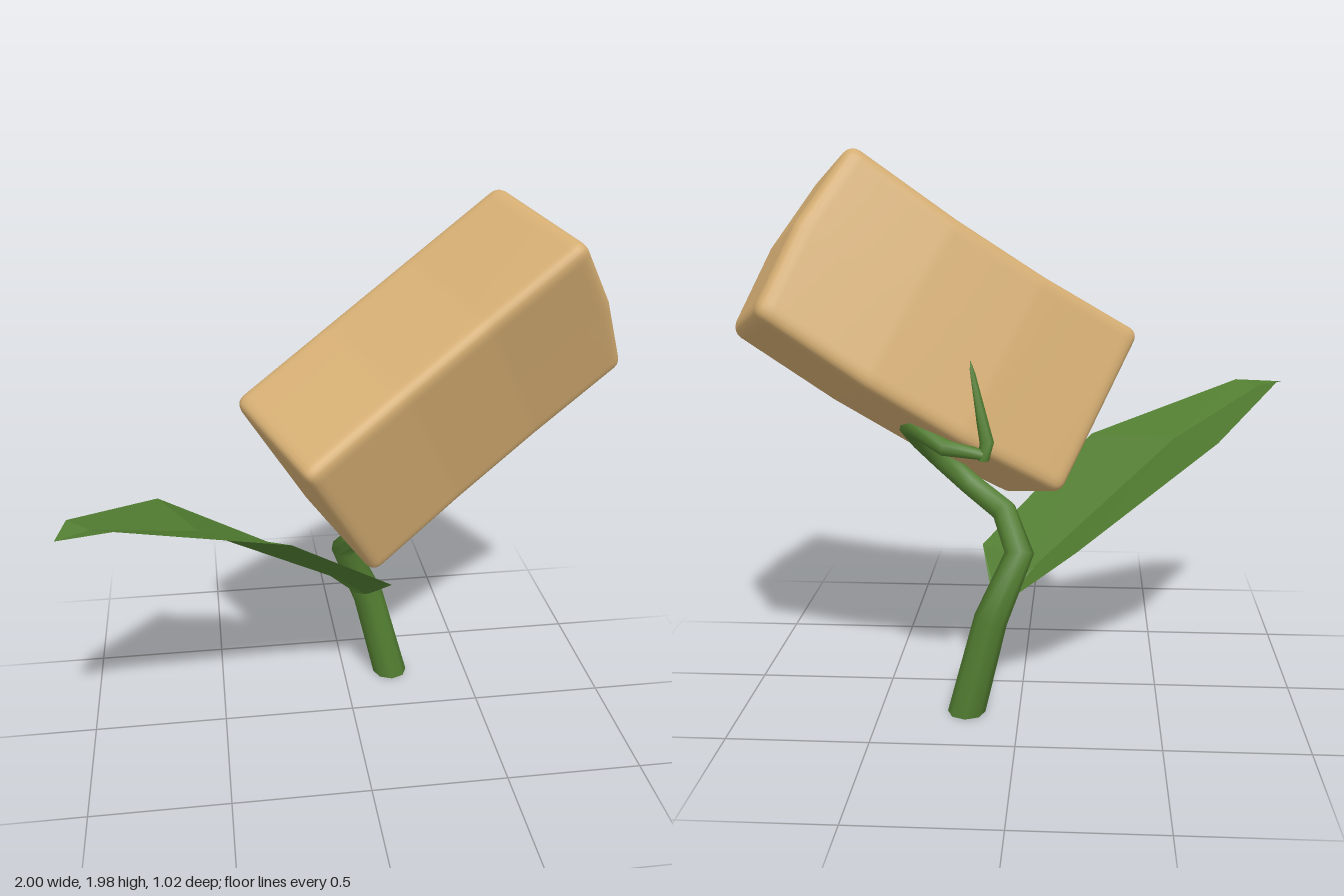
import * as THREE from 'three';
import { mergeVertices } from 'three/addons/utils/BufferGeometryUtils.js';

const V = (x, y, z) => new THREE.Vector3(x, y, z);
const tan = new THREE.MeshStandardMaterial({ color: 0xd4ad72 });
const green = new THREE.MeshStandardMaterial({ color: 0x527d31 });
const leafGreen = new THREE.MeshStandardMaterial({ color: 0x527d31, side: THREE.DoubleSide, flatShading: true });

function named(name, geometry, material) {
  const mesh = new THREE.Mesh(geometry, material);
  mesh.name = name;
  return mesh;
}

// Smooth mesh through rows of points; closed rows wrap around
function loft(rows, closed) {
  const n = rows[0].length, pos = [], index = [];
  rows.forEach(r => r.forEach(p => pos.push(p.x, p.y, p.z)));
  for (let i = 0; i < rows.length - 1; i++) {
    for (let j = 0; j < (closed ? n : n - 1); j++) {
      const k = (j + 1) % n;
      const a = i * n + j, b = i * n + k, c = a + n, d = b + n;
      index.push(a, b, d, a, d, c);
    }
  }
  const g = new THREE.BufferGeometry();
  g.setAttribute('position', new THREE.Float32BufferAttribute(pos, 3));
  g.setIndex(index);
  g.computeVertexNormals();
  return g;
}

// Soft-edged block, bowed along its length and swollen at one end
function blockGeometry() {
  const half = V(0.6, 0.33, 0.245), r = 0.04;
  let g = new THREE.BoxGeometry(half.x * 2, half.y * 2, half.z * 2, 60, 34, 25);
  g.deleteAttribute('uv');
  g.deleteAttribute('normal');
  g = mergeVertices(g);
  const p = g.attributes.position, v = V(0, 0, 0);
  const inner = half.clone().subScalar(r);
  for (let i = 0; i < p.count; i++) {
    v.fromBufferAttribute(p, i);
    const core = v.clone().clamp(inner.clone().negate(), inner);
    v.sub(core).normalize().multiplyScalar(r).add(core);
    const bow = 0.032 * Math.max(0, Math.min(1, (half.x - Math.abs(v.x)) / 0.42));
    v.x += 0.025 * (1 - Math.abs(v.y) / half.y) * Math.max(v.x, 0) / half.x;
    v.y -= bow;
    v.z -= bow;
    p.setXYZ(i, v.x, v.y, v.z);
  }
  g.computeVertexNormals();
  return g;
}

// Tapering stem: rings carried along the path without twist
function stemGeometry(path, radii, sides) {
  const last = path.length - 1;
  const side = V(1, 0, 0), rows = [];
  path.forEach((p, i) => {
    const a = path[Math.max(i - 1, 0)], b = path[Math.min(i + 1, last)];
    const inDir = p.clone().sub(a).normalize(), outDir = b.clone().sub(p).normalize();
    const t = inDir.add(outDir).normalize();
    if (i === 0) t.set(0, 1, 0);
    side.addScaledVector(t, -side.dot(t)).normalize();
    const up = t.clone().cross(side);
    const ring = [];
    for (let j = 0; j < sides; j++) {
      const ang = (j / sides) * Math.PI * 2;
      ring.push(p.clone()
        .addScaledVector(side, Math.cos(ang) * radii[i])
        .addScaledVector(up, Math.sin(ang) * radii[i]));
    }
    rows.push(ring);
  });
  return loft(rows, true);
}

export function createModel() {
  const model = new THREE.Group();

  // Tilted block resting in the curl of the stem
  const block = named('block', blockGeometry(), tan);
  const ex = V(0.94, 0.64, -0.27).normalize();
  const ez = V(0.2, -0.12, 0.4);
  ez.addScaledVector(ex, -ez.dot(ex)).normalize();
  const ey = ez.clone().cross(ex);
  block.quaternion.setFromRotationMatrix(new THREE.Matrix4().makeBasis(ex, ey, ez));
  block.position.set(0.3, 1.347, -0.033);
  model.add(block);

  // Stem bending round under the block
  const stemPath = [
    V(0.19, 0, -0.25), V(0.1, 0.36, -0.26), V(0, 0.6, -0.235), V(0.06, 0.72, -0.13),
    V(0.19, 0.8, -0.055), V(0.29, 0.89, -0.05), V(0.36, 0.98, -0.11), V(0.38, 1.04, -0.2),
    V(0.345, 1.06, -0.29), V(0.24, 1.01, -0.36), V(0.11, 0.99, -0.375),
  ];
  const stemRadii = [0.068, 0.06, 0.052, 0.046, 0.043, 0.042, 0.04, 0.038, 0.035, 0.03, 0.018];
  model.add(named('stem', stemGeometry(stemPath, stemRadii, 8), green));

  // Flat cap closing the foot of the stem
  const foot = named('stemFoot', new THREE.CircleGeometry(0.068, 8), green);
  foot.rotation.x = Math.PI / 2;
  foot.position.set(0.19, 0.001, -0.25);
  model.add(foot);

  // Thin thorn rising from the end of the curl
  const thorn = [V(0.11, 0.97, -0.375), V(0.1, 1.03, -0.365), V(0.19, 1.41, -0.26)];
  model.add(named('thorn', stemGeometry(thorn, [0.018, 0.024, 0.001], 6), green));

  // Leaf: rows of back edge, midrib, front edge from base to tip
  const leafRows = [
    [V(0.04, 0.41, -0.2), V(0.08, 0.4, -0.2), V(0.1, 0.41, -0.19)],
    [V(-0.2, 0.6, -0.22), V(-0.05, 0.52, -0.14), V(0.15, 0.55, 0)],
    [V(-0.7, 0.955, -0.03), V(-0.56, 0.92, 0.18), V(-0.25, 0.905, 0.3)],
    [V(-0.97, 1.1, 0.4), V(-0.9, 1.075, 0.43), V(-0.82, 1.09, 0.485)],
    [V(-1, 1.08, 0.505), V(-1, 1.08, 0.505), V(-1, 1.08, 0.505)],
  ];
  model.add(named('leaf', loft(leafRows, false), leafGreen));

  return model;
}
